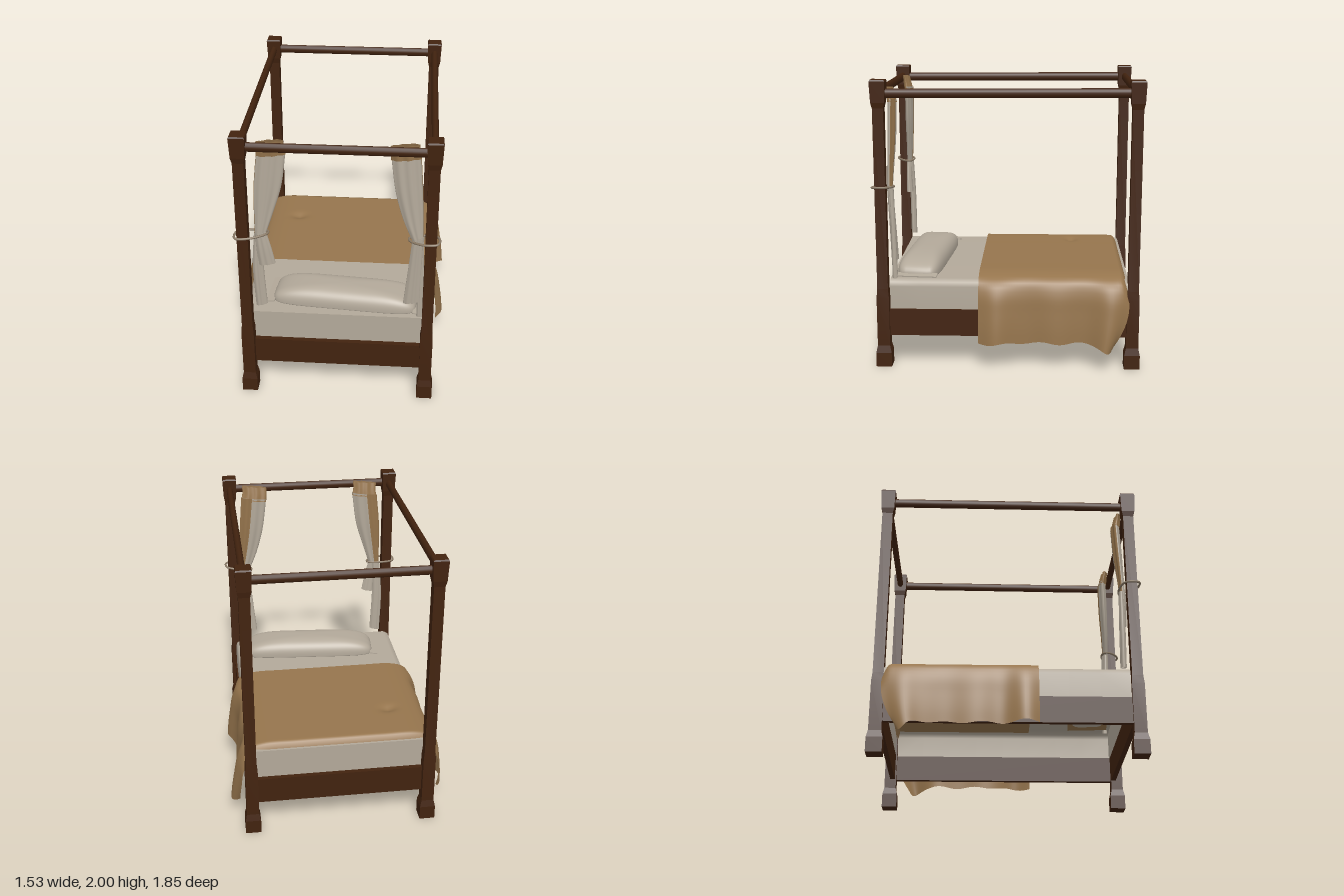
import * as THREE from 'three';
import { toCreasedNormals } from 'three/addons/utils/BufferGeometryUtils.js';

const makeMaterial = (name, color, double) => {
  const m = new THREE.MeshStandardMaterial({ color });
  m.name = name;
  if (double) m.side = THREE.DoubleSide;
  return m;
};

export function createModel() {
  const wood = makeMaterial('dark wood', 0x42230f);
  const linen = makeMaterial('linen', 0xb3a99a, true);
  const brown = makeMaterial('brown wool', 0x96754d, true);
  const rope = makeMaterial('rope', 0x8a7a66);
  const bed = new THREE.Group();
  bed.name = 'canopyBed';

  const add = (name, geometry, material, x = 0, y = 0, z = 0) => {
    const mesh = new THREE.Mesh(geometry, material);
    mesh.name = name;
    mesh.position.set(x, y, z);
    bed.add(mesh);
    return mesh;
  };
  const box = (name, mat, w, h, d, x, y, z) => add(name, new THREE.BoxGeometry(w, h, d), mat, x, y, z);
  // Grid sheet placed by a rule f(u, v) -> [x, y, z]
  const sheet = (name, mat, nu, nv, f) => {
    const g = new THREE.PlaneGeometry(1, 1, nu, nv);
    const p = g.attributes.position;
    for (let i = 0; i < p.count; i++) p.setXYZ(i, ...f(p.getX(i) + 0.5, p.getY(i) + 0.5));
    g.computeVertexNormals();
    return add(name, g, mat);
  };
  const v3 = (x, y, z = 0) => new THREE.Vector3(x, y, z);
  const bump = (x, c, w) => Math.exp(-(((x - c) / w) ** 2));

  // Square posts with a foot, a thicker lower part and a capital
  const LX = -0.603, RX = 0.635, FZ = 0.862, BZ = -0.866;
  const profile = [[0, 0], [0.054, 0], [0.054, 0.1], [0.043, 0.15], [0.043, 0.5], [0.037, 0.56],
    [0.037, 1.81], [0.046, 1.85], [0.052, 1.99], [0.047, 2], [0, 2]]
    .map(([r, y]) => new THREE.Vector2(r * Math.SQRT2, y));
  const postGeo = toCreasedNormals(new THREE.LatheGeometry(profile, 4, Math.PI / 4), 0.1);
  for (const x of [LX, RX]) for (const z of [FZ, BZ]) add('post', postGeo, wood, x, 0, z);

  // Canopy bars
  const bar = (name, length, x, y, z, alongX) => {
    const g = new THREE.CylinderGeometry(0.029, 0.029, length, 12, 1);
    g.scale(0.8, 1, 1);
    g.rotateX(Math.PI / 2).rotateZ(Math.PI / 2);
    g.rotateZ(-Math.PI / 2);
    g.rotateZ(0);
    if (alongX) g.rotateY(Math.PI / 2);
    g.scale(1, 1.1, 1);
    return add(name, g, wood, x, y, z);
  };
  bar('frontBar', RX - LX, 0.016, 1.912, FZ, true);
  bar('backBar', RX - LX, 0.016, 1.915, BZ, true);
  for (const x of [LX, RX]) bar('sideBar', FZ - BZ, x, 1.912, 0).rotation.x = 0.005;

  // Bed frame boards
  for (const z of [0.835, -0.85]) box('endBoard', wood, RX - LX, 0.19, 0.035, 0.016, 0.315, z);
  for (const x of [-0.612, 0.635]) box('sideBoard', wood, 0.035, 0.19, FZ - BZ, x, 0.315, 0);

  // Mattress: open-bottomed cover with rounded top edges, plus end walls
  const mx = 0.64, mz0 = -0.835, mz1 = 0.815;
  const outline = [[-mx, 0.4], [-mx, 0.57], [-mx + 0.012, 0.6], [-mx + 0.05, 0.62],
    [mx - 0.05, 0.62], [mx - 0.012, 0.6], [mx, 0.57], [mx, 0.4]];
  sheet('mattressCover', linen, outline.length - 1, 8, (u, v) => {
    const [x, y] = outline[Math.round(u * (outline.length - 1))];
    return [x, y, mz1 + (mz0 - mz1) * v];
  });
  const endShape = new THREE.Shape(outline.map(([x, y]) => new THREE.Vector2(x, y)));
  for (const z of [mz0, mz1]) add('mattressEnd', new THREE.ShapeGeometry(endShape), linen, 0, 0, z);
  // Cloth seen from beneath the hollow mattress
  box('blanketUnderside', brown, 1.2, 0.004, 1.0, 0, 0.608, -0.31);
  box('pillowUnderside', brown, 0.95, 0.004, 0.3, 0.06, 0.608, 0.6).rotation.y = -0.08;

  // Blanket draped over both sides
  const drape = new THREE.CatmullRomCurve3([v3(0, 0.66), v3(0.3, 0.66), v3(0.54, 0.655), v3(0.64, 0.62),
    v3(0.677, 0.53), v3(0.69, 0.4), v3(0.698, 0.28), v3(0.7, 0.19)]);
  sheet('blanket', brown, 72, 56, (u, v) => {
    const s = u * 2 - 1, side = Math.sign(s) || 1;
    const p = drape.getPointAt(Math.abs(s));
    const h = Math.min(1, Math.max(0, (0.63 - p.y) / 0.44));
    const z = 0.2 - 1.035 * v;
    // Corner flares and loose folds along the hanging edge
    const flare = 0.05 * bump(z, 0.1, 0.1) + 0.058 * bump(z, -0.72, 0.1) + 0.012 * Math.sin(z * 17 + side);
    const x = side * (p.x + flare * Math.sqrt(h)) + 0.005;
    let y = p.y + 0.008 * h * Math.sin(z * 24 + side) - 0.06 * h * bump(z, -0.76, 0.09);
    // Rolled back edge, and a small dimple
    y -= 0.09 * Math.max(0, (v - 0.95) / 0.05) ** 2 * (1 - h);
    y -= 0.025 * bump(x, -0.39, 0.05) * bump(z, -0.46, 0.04);
    return [x, y, z + v ** 8 * 0.11 * h * h - 0.015 * v ** 8 * Math.sin(h * Math.PI)];
  });

  // Pillow: a squarish cushion with flat hems at both ends
  const pillow = new THREE.Group();
  pillow.name = 'pillow';
  const pg = new THREE.SphereGeometry(1, 48, 32);
  const pp = pg.attributes.position;
  const square = (a, e) => Math.sign(a) * Math.abs(a) ** e;
  for (let i = 0; i < pp.count; i++) {
    const x = pp.getX(i), y = pp.getY(i), z = pp.getZ(i);
    const r = Math.hypot(x, z) || 1;
    const k = r ** 0.7;
    pp.setXYZ(i, 0.505 * square(x / r, 0.35) * k, (y > 0 ? 0.12 : 0.03) * square(y, 0.8),
      0.155 * square(z / r, 0.35) * k);
  }
  pg.computeVertexNormals();
  pillow.add(new THREE.Mesh(pg, linen));
  for (const s of [-1, 1]) {
    const hem = new THREE.Mesh(new THREE.BoxGeometry(0.06, 0.008, 0.3), linen);
    hem.name = 'pillowHem';
    hem.position.set(s * 0.515, 0.008, 0);
    hem.rotation.z = -s * 0.15;
    pillow.add(hem);
  }
  pillow.position.set(0.06, 0.628, 0.602);
  pillow.rotation.y = -0.08;
  bed.add(pillow);

  // Gathered cloth: rows of [y, left x, right x, z, half depth], wrapped by angle from a0 to a1
  const cloth = (name, mat, rows, a0 = 0, a1 = Math.PI * 2, grow = 0) => {
    const left = new THREE.CatmullRomCurve3(rows.map(r => v3(r[1], r[0], r[3])));
    const right = new THREE.CatmullRomCurve3(rows.map(r => v3(r[2], r[0], r[4])));
    sheet(name, mat, 48, 20, (u, v) => {
      const a = a0 + (a1 - a0) * u;
      const l = left.getPoint(1 - v), r = right.getPoint(1 - v);
      const w = (r.x - l.x) / 2;
      const pleat = 0.05 * w * Math.sin(Math.cos(a) * 9);
      return [(l.x + r.x) / 2 + (w + grow) * Math.cos(a), l.y + 0.01 * Math.cos(a),
        l.z + (r.z + grow) * Math.sin(a) + pleat];
    });
  };
  const curtains = [
    { top: [[1.85, -0.5, -0.31, 0.795, 0.025], [1.6, -0.525, -0.345, 0.8, 0.025],
      [1.4, -0.53, -0.405, 0.807, 0.02], [1.25, -0.53, -0.455, 0.812, 0.018]],
    tails: [[[1.26, -0.53, -0.455, 0.815, 0.018], [1.14, -0.525, -0.425, 0.815, 0.02], [1.015, -0.515, -0.4, 0.81, 0.022]],
      [[1.26, -0.54, -0.48, 0.8, 0.015], [1, -0.56, -0.485, 0.795, 0.02], [0.67, -0.55, -0.47, 0.79, 0.02]]],
    head: [[1.935, -0.5, -0.32, 0.815, 0.02], [1.88, -0.495, -0.32, 0.805, 0.025], [1.83, -0.505, -0.31, 0.796, 0.028]] },
    { top: [[1.85, 0.36, 0.548, 0.795, 0.025], [1.6, 0.395, 0.568, 0.8, 0.025],
      [1.4, 0.45, 0.58, 0.807, 0.02], [1.25, 0.512, 0.585, 0.812, 0.018]],
    tails: [[[1.26, 0.512, 0.585, 0.812, 0.018], [1, 0.49, 0.582, 0.8, 0.02], [0.735, 0.465, 0.58, 0.79, 0.022]],
      [[1.26, 0.54, 0.59, 0.8, 0.015], [0.9, 0.555, 0.598, 0.79, 0.016], [0.6, 0.56, 0.6, 0.785, 0.018]]],
    head: [[1.935, 0.355, 0.54, 0.815, 0.02], [1.88, 0.355, 0.54, 0.805, 0.025], [1.83, 0.36, 0.552, 0.796, 0.028]] },
  ];
  curtains.forEach(({ top, tails, head }, i) => {
    cloth('curtain', linen, top);
    tails.forEach(t => cloth('curtainTail', linen, t));
    cloth('curtainHeader', brown, head);
    // Lining showing on the back along the post side
    const range = i ? [Math.PI * 1.55, Math.PI * 1.95] : [Math.PI * 1.05, Math.PI * 1.45];
    cloth('curtainLining', brown, top, ...range, 0.004);

    // Rope tie around the post and the gathered cloth
    const s = i ? 1 : -1, px = i ? RX : LX, inner = i ? 0.495 : -0.445;
    const loop = [[px + s * 0.045, 0.91], [px + s * 0.048, 0.82], [px - s * 0.05, 0.785],
      [inner, 0.8], [inner, 0.835], [px - s * 0.042, 0.908]]
      .map(([x, z]) => v3(x, 1.265 + (i ? 0.12 * (x - 0.59) : 0.02 * (x + 0.55)), z));
    add('curtainTie', new THREE.TubeGeometry(new THREE.CatmullRomCurve3(loop, true), 48, 0.008, 8, true), rope);
  });

  return bed;
}
